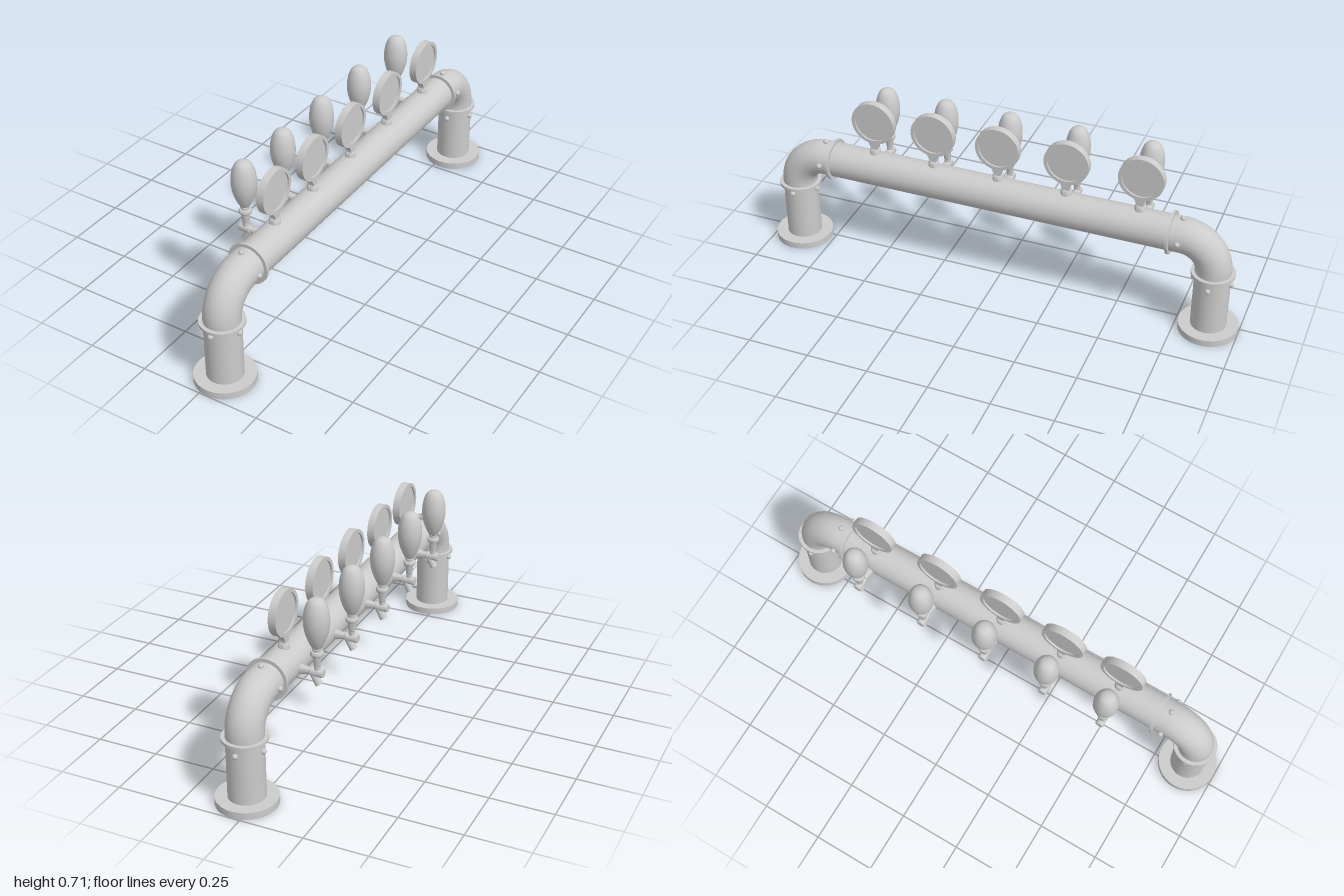
import * as THREE from 'three';
import { toCreasedNormals } from 'three/addons/utils/BufferGeometryUtils.js';

const grey = new THREE.MeshStandardMaterial({ color: 0xcccccc });
const greyOpen = new THREE.MeshStandardMaterial({ color: 0xcccccc, side: THREE.DoubleSide });

const CX = 0.033;       // pipe centre line
const PIPE_R = 0.071;
const PIPE_Y = 0.413;   // height of the horizontal pipe axis
const LEG_Z = 0.881;
const BEND = 0.13;      // elbow centre-line radius

function add(parent, name, geometry, material = grey) {
  const mesh = new THREE.Mesh(geometry, material);
  mesh.name = name;
  parent.add(mesh);
  return mesh;
}

// Turned part around y, from [radius, height] pairs running bottom to top
function turned(profile, segments = 28) {
  const points = profile.map(([r, y]) => new THREE.Vector2(r, y));
  return toCreasedNormals(new THREE.LatheGeometry(points, segments), 0.6);
}

// Flat ring with its lower face at y = 0
function ring(inner, outer, height) {
  return turned([[inner, 0], [outer, 0], [outer, height], [inner, height], [inner, 0]], 40);
}

// Open pipe along y
function pipe(length) {
  return new THREE.CylinderGeometry(PIPE_R, PIPE_R, length, 40, 1, true);
}

// Four round rivets around a pipe whose axis is y
function rivets(parent) {
  for (let i = 0; i < 4; i++) {
    const a = i * Math.PI / 2;
    add(parent, 'rivet', new THREE.SphereGeometry(0.011, 14, 10))
      .position.set(Math.cos(a) * 0.074, 0, Math.sin(a) * 0.074);
  }
}

// Leg, elbow, flanges and rivets at the +z end
function createSupport(name, rivetY) {
  const g = new THREE.Group();
  g.name = name;
  const legTop = PIPE_Y - BEND;

  add(g, 'baseFlange', ring(PIPE_R, 0.118, 0.028)).position.z = LEG_Z;
  add(g, 'legPipe', pipe(legTop), greyOpen).position.set(0, legTop / 2, LEG_Z);
  add(g, 'legCollar', ring(PIPE_R - 0.002, 0.086, 0.012)).position.set(0, 0.265, LEG_Z);

  const legRivets = new THREE.Group();
  legRivets.name = 'legRivets';
  legRivets.position.set(0, rivetY, LEG_Z);
  rivets(legRivets);
  g.add(legRivets);

  const elbow = add(g, 'elbow', new THREE.TorusGeometry(BEND, PIPE_R, 40, 20, Math.PI / 2), greyOpen);
  elbow.position.set(0, legTop, LEG_Z - BEND);
  elbow.rotation.y = -Math.PI / 2;

  const collar = add(g, 'railCollar', ring(PIPE_R - 0.002, 0.085, 0.01));
  collar.rotation.x = Math.PI / 2;
  collar.position.set(0, PIPE_Y, 0.703);

  const railRivets = new THREE.Group();
  railRivets.name = 'railRivets';
  railRivets.rotation.x = Math.PI / 2;
  railRivets.position.set(0, PIPE_Y, 0.748);
  rivets(railRivets);
  g.add(railRivets);
  return g;
}

// Round framed plate on a short neck
function createMedallion() {
  const g = new THREE.Group();
  g.name = 'medallion';
  const disc = add(g, 'framedDisc', turned([
    [0, -0.008], [0.076, -0.008], [0.076, -0.0155], [0.09, -0.0155],
    [0.09, 0.0155], [0.076, 0.0155], [0.076, 0.008], [0, 0.008],
  ], 40));
  disc.rotation.z = Math.PI / 2;
  disc.position.y = 0.623;

  // neck flares along z where it meets the disc
  const s = new THREE.Shape();
  s.moveTo(-0.013, 0.495);
  s.lineTo(0.013, 0.495);
  s.lineTo(0.015, 0.515);
  s.lineTo(0.026, 0.539);
  s.lineTo(-0.026, 0.539);
  s.lineTo(-0.015, 0.515);
  const neckGeo = new THREE.ExtrudeGeometry(s, { depth: 0.025, bevelEnabled: false });
  neckGeo.translate(0, 0, -0.0125);
  neckGeo.rotateY(Math.PI / 2);
  add(g, 'neck', neckGeo);

  add(g, 'neckFoot', turned([[0, 0.475], [0.022, 0.475], [0.022, 0.5], [0.019, 0.505], [0, 0.505]]));
  g.position.x = 0.0285;
  return g;
}

// Tap with horizontal body, slanted spout and egg-shaped handle
function createTap() {
  const g = new THREE.Group();
  g.name = 'tap';

  const body = add(g, 'tapBody', turned([
    [0, 0], [0.015, 0], [0.017, 0.003], [0.017, 0.05], [0.013, 0.053],
    [0.013, 0.06], [0.018, 0.085], [0.018, 0.105], [0, 0.105],
  ]));
  body.rotation.z = -Math.PI / 2;
  body.position.set(-0.13, 0.408, 0);

  const from = new THREE.Vector3(-0.088, 0.402, 0);
  const to = new THREE.Vector3(-0.1105, 0.36, 0);
  const dir = to.clone().sub(from);
  const spout = add(g, 'spout', turned([
    [0.011, dir.length() - 0.02], [0.011, 0], [0.0148, 0],
    [0.0148, -dir.length()],
  ].map(([r, y]) => [r, -y]).reverse().concat([]).reverse(), 24), greyOpen);
  spout.geometry = new THREE.CylinderGeometry(0.0148, 0.0148, dir.length(), 24);
  spout.position.copy(from).add(to).multiplyScalar(0.5);
  spout.quaternion.setFromUnitVectors(new THREE.Vector3(0, 1, 0), dir.normalize());

  const stem = add(g, 'handleStem', turned([
    [0, 0.41], [0.012, 0.41], [0.012, 0.438], [0.0135, 0.44], [0.016, 0.475],
    [0.022, 0.476], [0.0245, 0.48], [0.0245, 0.491], [0.022, 0.495], [0.016, 0.496],
    [0.016, 0.5], [0.0185, 0.502], [0.0185, 0.508], [0.016, 0.511], [0, 0.511],
  ]));
  stem.position.x = -0.104;

  // smooth egg profile, blunt at the top
  const curve = new THREE.SplineCurve([
    [0.017, 0.508], [0.031, 0.535], [0.044, 0.574], [0.049, 0.615],
    [0.045, 0.657], [0.033, 0.69], [0.018, 0.704], [0, 0.708],
  ].map(([r, y]) => new THREE.Vector2(r, y)));
  const egg = curve.getPoints(24);
  egg[24].x = 0;
  add(g, 'handle', new THREE.LatheGeometry(egg, 32)).position.x = -0.104;
  return g;
}

export function createModel() {
  const model = new THREE.Group();
  model.name = 'tapTower';

  // Horizontal rail between the elbows
  const rail = add(model, 'rail', pipe(2 * (LEG_Z - BEND)), greyOpen);
  rail.rotation.x = Math.PI / 2;
  rail.position.set(CX, PIPE_Y, 0);

  const front = createSupport('frontSupport', 0.246);
  const back = createSupport('backSupport', 0.23);
  back.rotation.y = Math.PI;
  front.position.x = back.position.x = CX;
  model.add(front, back);

  // Five tap stations along the rail
  for (const z of [-0.578, -0.282, 0, 0.272, 0.528]) {
    const station = new THREE.Group();
    station.name = 'tapStation';
    station.position.z = z;
    station.add(createMedallion(), createTap());
    model.add(station);
  }
  return model;
}
